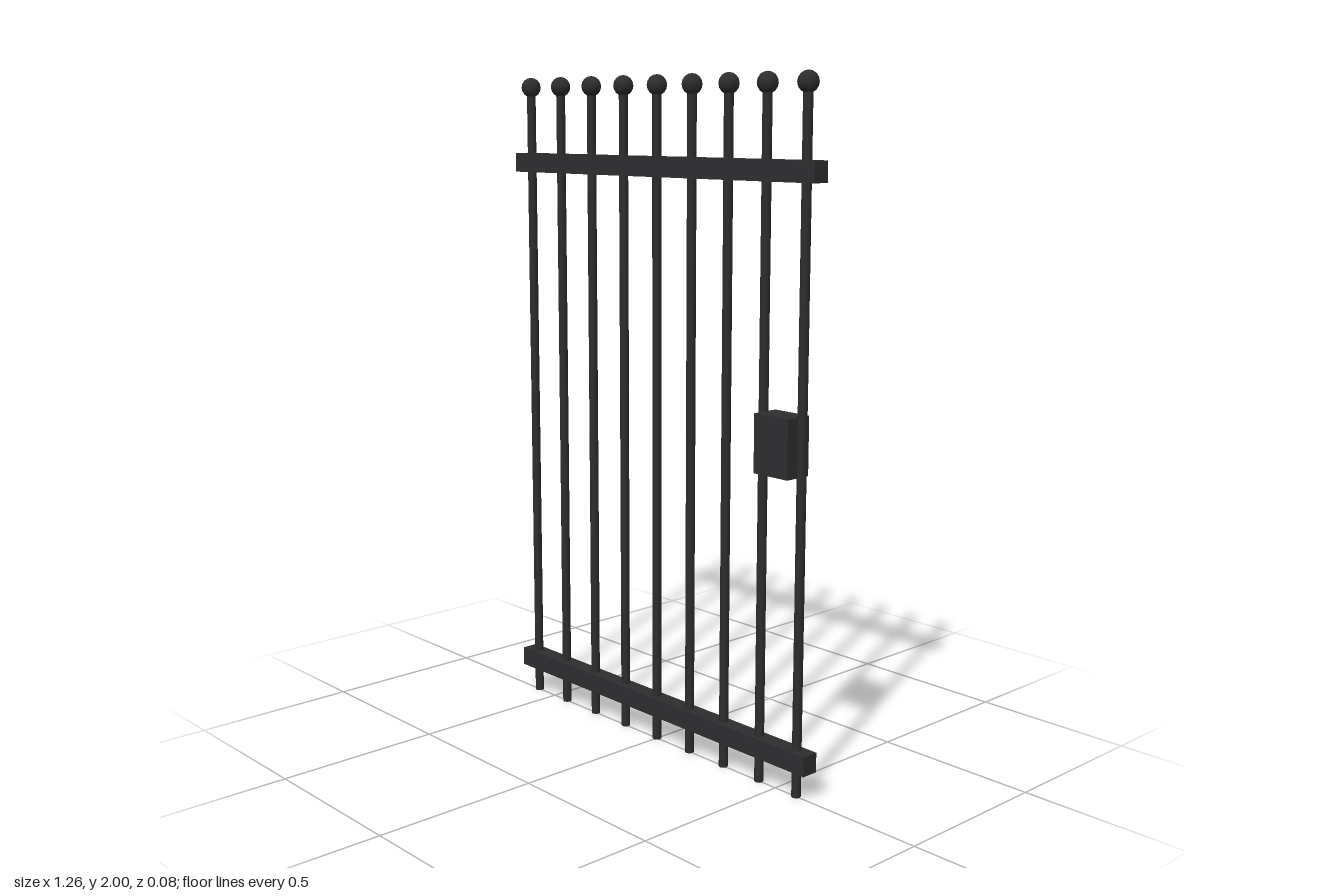
import * as THREE from 'three';

export function createModel() {
  const gate = new THREE.Group();
  gate.name = 'gate';
  const iron = new THREE.MeshStandardMaterial({ color: 0x2e2e30 });

  const add = (name, geometry, x, y, z = 0) => {
    const mesh = new THREE.Mesh(geometry, iron);
    mesh.name = name;
    mesh.position.set(x, y, z);
    gate.add(mesh);
  };

  // Upright bars, each topped by a ball
  const count = 9, spacing = 0.145, ballRadius = 0.03;
  const barHeight = 2 - ballRadius;
  const barGeometry = new THREE.CylinderGeometry(0.0135, 0.0135, barHeight, 8);
  const ballGeometry = new THREE.SphereGeometry(ballRadius, 12, 8);
  for (let i = 0; i < count; i++) {
    const x = (i - (count - 1) / 2) * spacing;
    add('bar', barGeometry, x, barHeight / 2);
    add('ballFinial', ballGeometry, x, barHeight);
  }

  // Horizontal rails
  const railGeometry = new THREE.BoxGeometry(1.26, 0.058, 0.052);
  add('bottomRail', railGeometry, 0, 0.11);
  add('topRail', railGeometry, 0, 1.74);

  // Lock box between the last two bars
  add('lockBox', new THREE.BoxGeometry(0.126, 0.168, 0.084), 0.503, 1.0);

  return gate;
}
